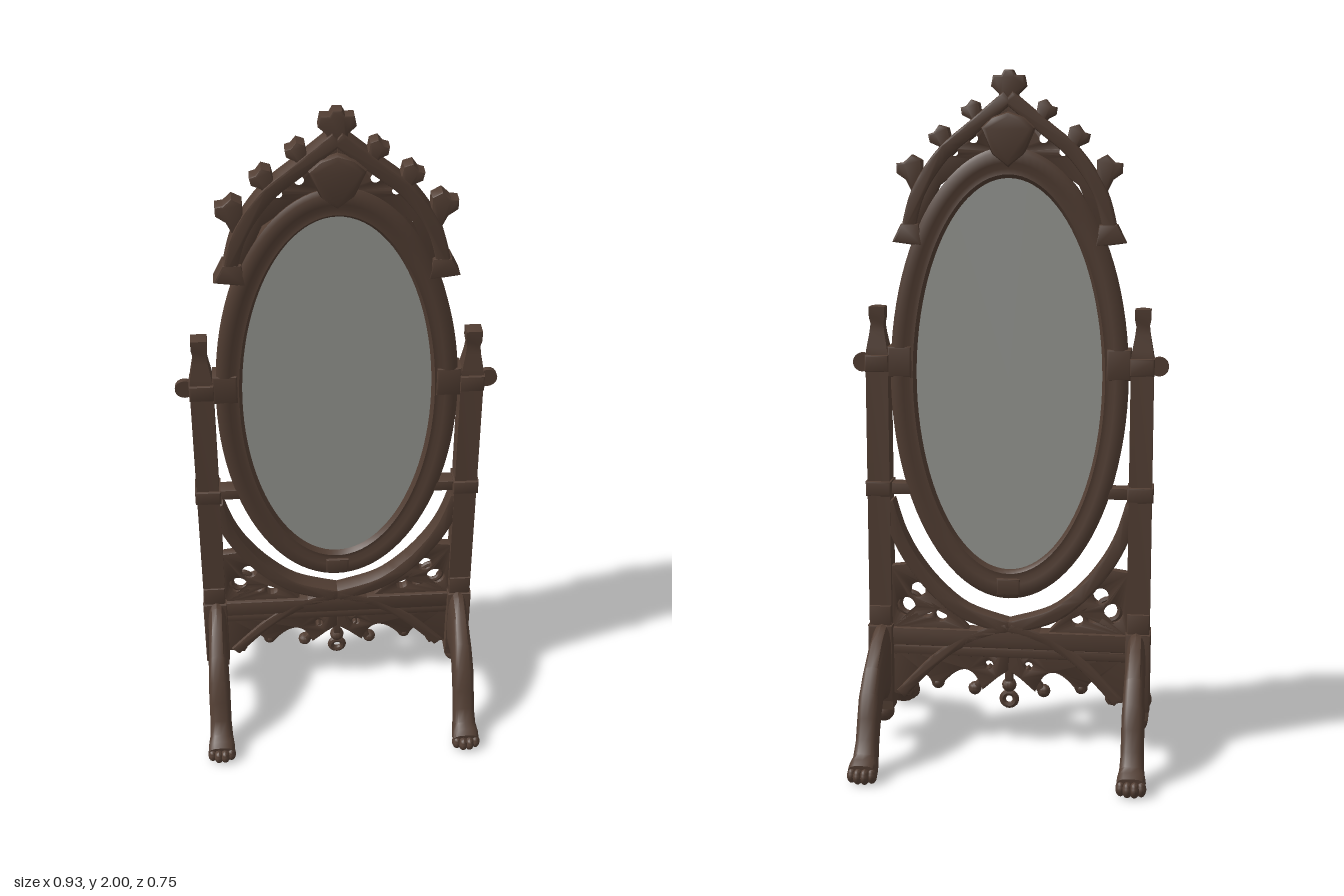
import * as THREE from 'three';
import { toCreasedNormals } from 'three/addons/utils/BufferGeometryUtils.js';

const wood = new THREE.MeshStandardMaterial({ color: 0x523e33 });
wood.name = 'dark walnut';
const glass = new THREE.MeshStandardMaterial({ color: 0x989994 });
glass.name = 'mirror glass';

const V2 = (x, y) => new THREE.Vector2(x, y);

function part(parent, name, geometry, material = wood) {
  const mesh = new THREE.Mesh(toCreasedNormals(geometry, 0.7), material);
  mesh.name = name;
  parent.add(mesh);
  return mesh;
}

// Flat carved piece centred on z = 0 with a small bevel
function slab(shape, depth, bevel = 0.006) {
  return new THREE.ExtrudeGeometry(shape, {
    depth: depth - 2 * bevel, bevelThickness: bevel, bevelSize: bevel,
    bevelOffset: -bevel, bevelSegments: 2, curveSegments: 16,
  }).translate(0, 0, bevel - depth / 2);
}

function polygon(points) {
  return new THREE.Shape(points.map(([x, y]) => V2(x, y)));
}

function addHoles(shape, holes) {
  for (const [x, y, r] of holes) {
    shape.holes.push(new THREE.Path().absarc(x, y, r, 0, Math.PI * 2, true));
  }
  return shape;
}

// Strip of constant width following a smooth curve
function band(points, width, depth) {
  const curve = new THREE.SplineCurve(points.map(([x, y]) => V2(x, y)));
  const left = [], right = [];
  for (let i = 0; i <= 24; i++) {
    const p = curve.getPoint(i / 24), t = curve.getTangent(i / 24);
    const n = V2(-t.y, t.x).multiplyScalar(width / 2);
    left.push(p.clone().add(n));
    right.unshift(p.clone().sub(n));
  }
  return slab(new THREE.Shape([...left, ...right]), depth);
}

// Skin over successive rings of points, either closed round or capped
function loft(rings, closed) {
  const m = rings[0].length, n = rings.length, pos = rings.flat(2), idx = [];
  for (let i = 0; i < (closed ? n : n - 1); i++) {
    for (let j = 0; j < m; j++) {
      const k = (j + 1) % m, e = ((i + 1) % n) * m;
      const a = i * m + j, b = i * m + k, c = e + k, d = e + j;
      idx.push(a, b, c, a, c, d);
    }
  }
  if (!closed) {
    for (let j = 1; j < m - 1; j++) {
      idx.push(0, j + 1, j);
      idx.push((n - 1) * m, (n - 1) * m + j, (n - 1) * m + j + 1);
    }
  }
  const g = new THREE.BufferGeometry();
  g.setAttribute('position', new THREE.Float32BufferAttribute(pos, 3));
  g.setIndex(idx);
  return g;
}

// Oval moulding: profile pairs are [0 inner .. 1 outer, z]
function ovalFrame(inner, outer, profile) {
  const rings = [];
  for (let i = 0; i < 96; i++) {
    const a = (i / 96) * Math.PI * 2, c = Math.cos(a), s = Math.sin(a);
    rings.push(profile.map(([t, z]) => [
      THREE.MathUtils.lerp(inner[0], outer[0], t) * c,
      1.125 + THREE.MathUtils.lerp(inner[1], outer[1], t) * s, z]));
  }
  return loft(rings, true);
}

// Cabriole leg: [z top, y top, z bottom, y bottom, half width]
function legGeometry() {
  const rows = [
    [0.02, 0.375, 0.02, 0.13, 0.029], [0.06, 0.372, 0.07, 0.145, 0.029],
    [0.12, 0.345, 0.12, 0.158, 0.029], [0.19, 0.292, 0.165, 0.158, 0.031],
    [0.24, 0.23, 0.2, 0.142, 0.033], [0.268, 0.165, 0.225, 0.105, 0.033],
    [0.29, 0.11, 0.245, 0.06, 0.033], [0.315, 0.075, 0.268, 0.012, 0.036],
    [0.335, 0.066, 0.31, 0.002, 0.041], [0.352, 0.055, 0.35, 0.004, 0.041],
  ];
  const bend = (v) => Math.sign(v) * Math.abs(v) ** 0.65;
  return loft(rows.map(([zt, yt, zb, yb, w]) => Array.from({ length: 16 }, (_, j) => {
    const a = (j / 16) * Math.PI * 2, t = (bend(Math.sin(a)) + 1) / 2;
    return [bend(Math.cos(a)) * w, yb + (yt - yb) * t, zb + (zt - zb) * t];
  })), false);
}

function ball(parent, name, r, x, y, z, sx = 1, sy = 1, sz = 1) {
  return part(parent, name, new THREE.SphereGeometry(r, 14, 10).scale(sx, sy, sz).translate(x, y, z));
}

function box(parent, name, w, h, d, x, y) {
  const shape = polygon([[-w / 2, -h / 2], [w / 2, -h / 2], [w / 2, h / 2], [-w / 2, h / 2]]);
  return part(parent, name, slab(shape, d).translate(x, y, 0));
}

// Everything on one side; the other side is the same turned about y
function buildSide() {
  const side = new THREE.Group();

  // Square post with tapered finial, base block and drop
  const post = [[0, 0.1], [0.034, 0.1], [0.033, 1.19], [0.03, 1.21], [0.022, 1.255],
    [0.019, 1.28], [0.023, 1.3], [0.023, 1.33], [0, 1.335]];
  part(side, 'post', new THREE.LatheGeometry(post.map(([r, y]) => V2(r * Math.SQRT2, y)), 4, Math.PI / 4)
    .scale(1, 1, 0.93).translate(0.387, 0, 0));
  box(side, 'postBlock', 0.074, 0.24, 0.09, 0.387, 0.25);
  box(side, 'postBlockCap', 0.066, 0.07, 0.075, 0.387, 0.395);
  box(side, 'postCollar', 0.076, 0.045, 0.08, 0.387, 0.79);
  box(side, 'collarArm', 0.1, 0.035, 0.05, 0.3, 0.79);
  ball(side, 'postDrop', 0.032, 0.387, 0.085, 0);

  // Pivot with flat thumb screw
  box(side, 'pivotCollar', 0.07, 0.05, 0.08, 0.387, 1.165);
  box(side, 'pivotBracket', 0.07, 0.09, 0.064, 0.32, 1.17);
  part(side, 'thumbScrew', new THREE.CylinderGeometry(0.028, 0.028, 0.016, 18)
    .rotateX(Math.PI / 2).translate(0.435, 1.165, 0));

  // Legs with toes, front and back
  for (const turn of [0, Math.PI]) {
    const leg = new THREE.Group();
    leg.name = turn ? 'backLeg' : 'frontLeg';
    part(leg, 'legBody', legGeometry());
    for (const [i, x] of [-0.029, -0.01, 0.01, 0.029].entries()) {
      ball(leg, 'toe', 0.015, x, 0.024, i % 3 ? 0.355 : 0.345, 0.95, 1.5, 1.3);
    }
    leg.rotation.y = turn;
    leg.position.x = 0.382;
    side.add(leg);
  }

  // Cradle arm and pierced spandrel
  part(side, 'cradleArm', band([[0.365, 0.75], [0.335, 0.655], [0.29, 0.57], [0.22, 0.483],
    [0.13, 0.412], [0, 0.37]], 0.042, 0.056));
  const spandrel = polygon([[0.36, 0.35], [0.36, 0.55], [0.29, 0.56], [0.21, 0.46], [0.11, 0.35]]);
  part(side, 'spandrelTracery', slab(addHoles(spandrel, [[0.312, 0.425, 0.028],
    [0.275, 0.477, 0.023], [0.253, 0.418, 0.024], [0.205, 0.4, 0.018]]), 0.03, 0.004));
  part(side, 'spandrelRing', new THREE.TorusGeometry(0.033, 0.009, 8, 20).translate(0.3, 0.432, 0));

  // Scalloped apron with arch and cusps
  const apron = new THREE.Shape([V2(0, 0.37), V2(0, 0.235), V2(0.035, 0.21)]);
  apron.lineTo(0.08, 0.17);
  apron.quadraticCurveTo(0.12, 0.29, 0.205, 0.18);
  apron.lineTo(0.23, 0.175);
  apron.quadraticCurveTo(0.26, 0.26, 0.3, 0.14);
  apron.lineTo(0.36, 0.15);
  apron.lineTo(0.36, 0.3);
  part(side, 'apron', slab(addHoles(apron, [[0.048, 0.297, 0.02], [0.06, 0.25, 0.013]]), 0.035, 0.004));
  part(side, 'apronArch', band([[0, 0.375], [0.12, 0.332], [0.22, 0.265], [0.33, 0.15]], 0.032, 0.056));
  part(side, 'apronCusp', band([[0.05, 0.24], [0.08, 0.2], [0.105, 0.165]], 0.024, 0.03));
  for (const [x, y] of [[0.105, 0.17], [0.218, 0.185], [0.31, 0.155]]) {
    ball(side, 'cuspKnob', 0.02, x, y, 0);
  }

  // Pierced crown web and its raised edge
  const web = polygon([[0, 1.93], [0.1, 1.85], [0.2, 1.76], [0.265, 1.66], [0.305, 1.52],
    [0.27, 1.52], [0.2, 1.68], [0.1, 1.75], [0, 1.77]]);
  part(side, 'crownWeb', slab(addHoles(web, [[0.155, 1.772, 0.014], [0.1, 1.81, 0.016]]), 0.036, 0.003));
  part(side, 'crownEdge', band([[0.295, 1.53], [0.262, 1.655], [0.19, 1.765], [0.1, 1.842], [0, 1.925]], 0.04, 0.06));

  // Leaf crockets climbing the crown: [x, y, lean, scale]
  for (const [x, y, lean, k] of [[0.265, 1.69, -0.45, 1.15], [0.175, 1.79, -0.65, 0.95],
    [0.088, 1.865, -0.6, 0.85]]) {
    part(side, 'crownLeaf', slab(polygon([[-0.022, -0.02], [0.022, -0.02], [0.022, 0.015], [0.036, 0.04],
      [0.026, 0.062], [0.008, 0.056], [-0.018, 0.064], [-0.034, 0.042], [-0.022, 0.015]]), 0.05)
      .scale(k, k, 1).rotateZ(lean).translate(x, y, 0));
  }
  part(side, 'crownFoot', slab(polygon([[-0.045, -0.02], [0.045, -0.026], [0.03, 0.03], [-0.02, 0.04]]), 0.064)
    .rotateZ(0.2).translate(0.287, 1.535, 0));
  return side;
}

export function createModel() {
  const model = new THREE.Group();
  model.name = 'chevalMirror';

  // Oval mirror, moulded frame and inner bead
  part(model, 'mirrorGlass', new THREE.CylinderGeometry(1, 1, 0.024, 96)
    .rotateX(Math.PI / 2).scale(0.285, 0.585, 1).translate(0, 1.125, 0), glass);
  part(model, 'ovalFrame', ovalFrame([0.272, 0.575], [0.347, 0.662], [
    [0, 0.014], [0.12, 0.027], [0.3, 0.024], [0.5, 0.031], [0.85, 0.031], [1, 0.022],
    [1, -0.022], [0.85, -0.031], [0.5, -0.031], [0.3, -0.024], [0.12, -0.027], [0, -0.014]]));
  box(model, 'frameClasp', 0.07, 0.05, 0.068, 0, 0.5);

  // Left and right halves
  for (const turn of [0, Math.PI]) {
    const side = buildSide();
    side.name = turn ? 'rightSide' : 'leftSide';
    side.rotation.y = turn;
    model.add(side);
  }

  // Cross rail with a lower moulding
  box(model, 'crossRail', 0.72, 0.055, 0.056, 0, 0.333);
  box(model, 'railMoulding', 0.72, 0.03, 0.044, 0, 0.29);

  // Centre pendant
  part(model, 'pendantRing', new THREE.TorusGeometry(0.02, 0.01, 8, 20).translate(0, 0.14, 0));
  ball(model, 'pendantKnob', 0.022, 0, 0.185, 0);
  box(model, 'pendantStem', 0.024, 0.08, 0.03, 0, 0.22);

  // Shield and finial of the crown
  part(model, 'crownShield', slab(polygon([[0, 1.73], [0.045, 1.765], [0.078, 1.84], [0.045, 1.87],
    [0, 1.885], [-0.045, 1.87], [-0.078, 1.84], [-0.045, 1.765]]), 0.084, 0.014));
  part(model, 'crownFinial', slab(polygon([[-0.025, 1.9], [0.025, 1.9], [0.028, 1.935], [0.05, 1.955],
    [0.044, 1.985], [0.02, 1.985], [0.012, 2], [-0.012, 2], [-0.02, 1.985], [-0.044, 1.985],
    [-0.05, 1.955], [-0.028, 1.935]]), 0.044));
  return model;
}
